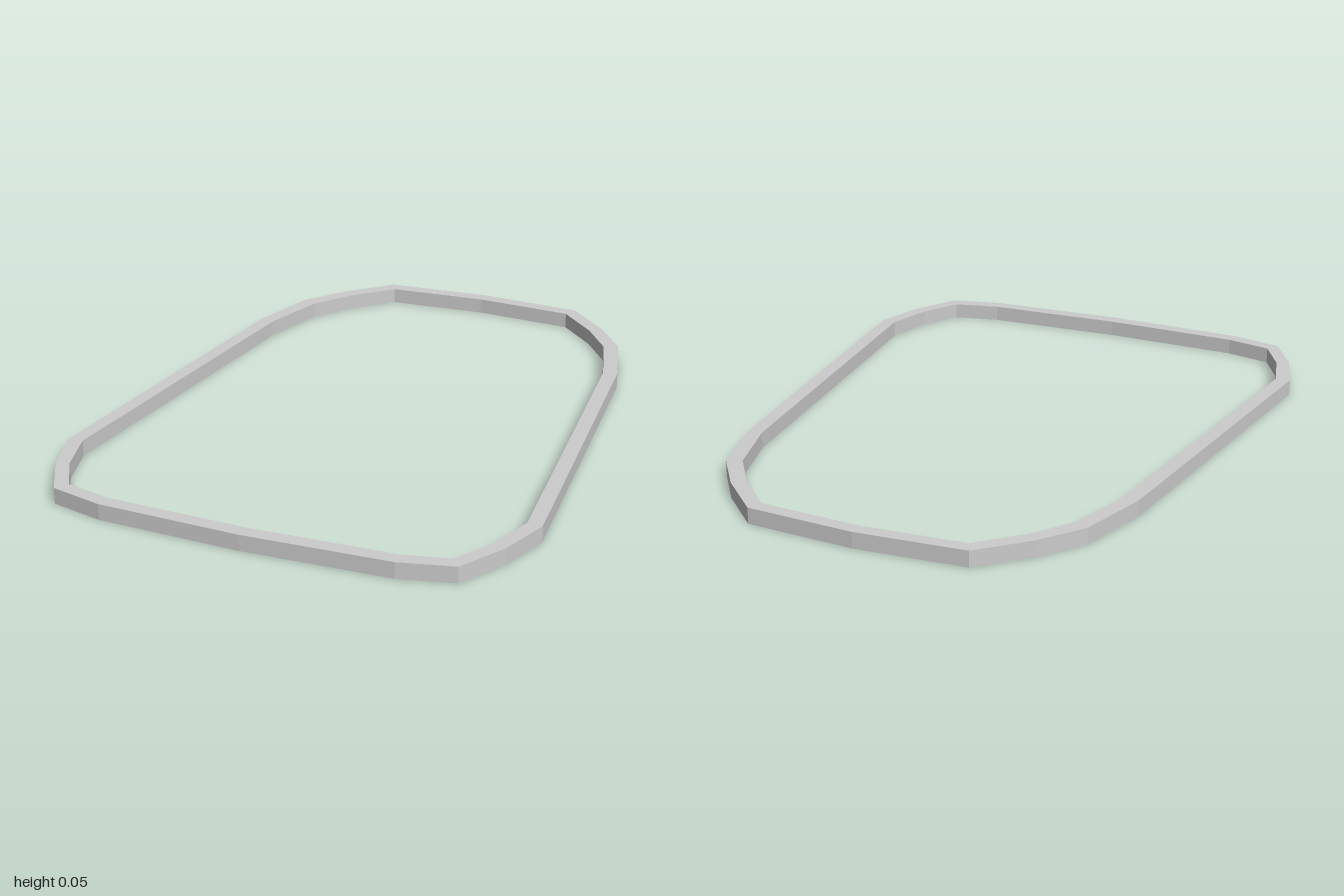
import * as THREE from 'three';

// Right half of each outline as [x, z], running from back centre to front centre
const OUTER = [[0, -1], [0.343, -0.977], [0.481, -0.842], [0.577, -0.71], [0.639, -0.485],
  [0.75, 0.635], [0.7, 0.793], [0.617, 0.942], [0.45, 0.983], [0, 1]];
const INNER = [[0, -0.955], [0.323, -0.934], [0.445, -0.813], [0.532, -0.69], [0.594, -0.475],
  [0.704, 0.63], [0.66, 0.78], [0.59, 0.904], [0.443, 0.938], [0, 0.953]];
const HEIGHT = 0.05;

// Mirror a half outline across x = 0 into a closed clockwise loop
function closedLoop(half) {
  const mirrored = half.slice(1, -1).reverse().map(([x, z]) => [-x, z]);
  return [...half, ...mirrored].map(([x, z]) => new THREE.Vector2(x, -z));
}

export function createModel() {
  const group = new THREE.Group();
  group.name = 'flatRing';

  // Faceted frame: outer outline with the inner outline cut out, laid flat.
  // The hole runs the opposite way so its walls face inward.
  const shape = new THREE.Shape(closedLoop(OUTER));
  shape.holes.push(new THREE.Path(closedLoop(INNER).reverse()));
  const geometry = new THREE.ExtrudeGeometry(shape, { depth: HEIGHT, bevelEnabled: false });
  geometry.rotateX(-Math.PI / 2);

  const frame = new THREE.Mesh(geometry,
    new THREE.MeshStandardMaterial({ color: 0xcccccc, flatShading: true }));
  frame.name = 'frame';
  group.add(frame);
  return group;
}
